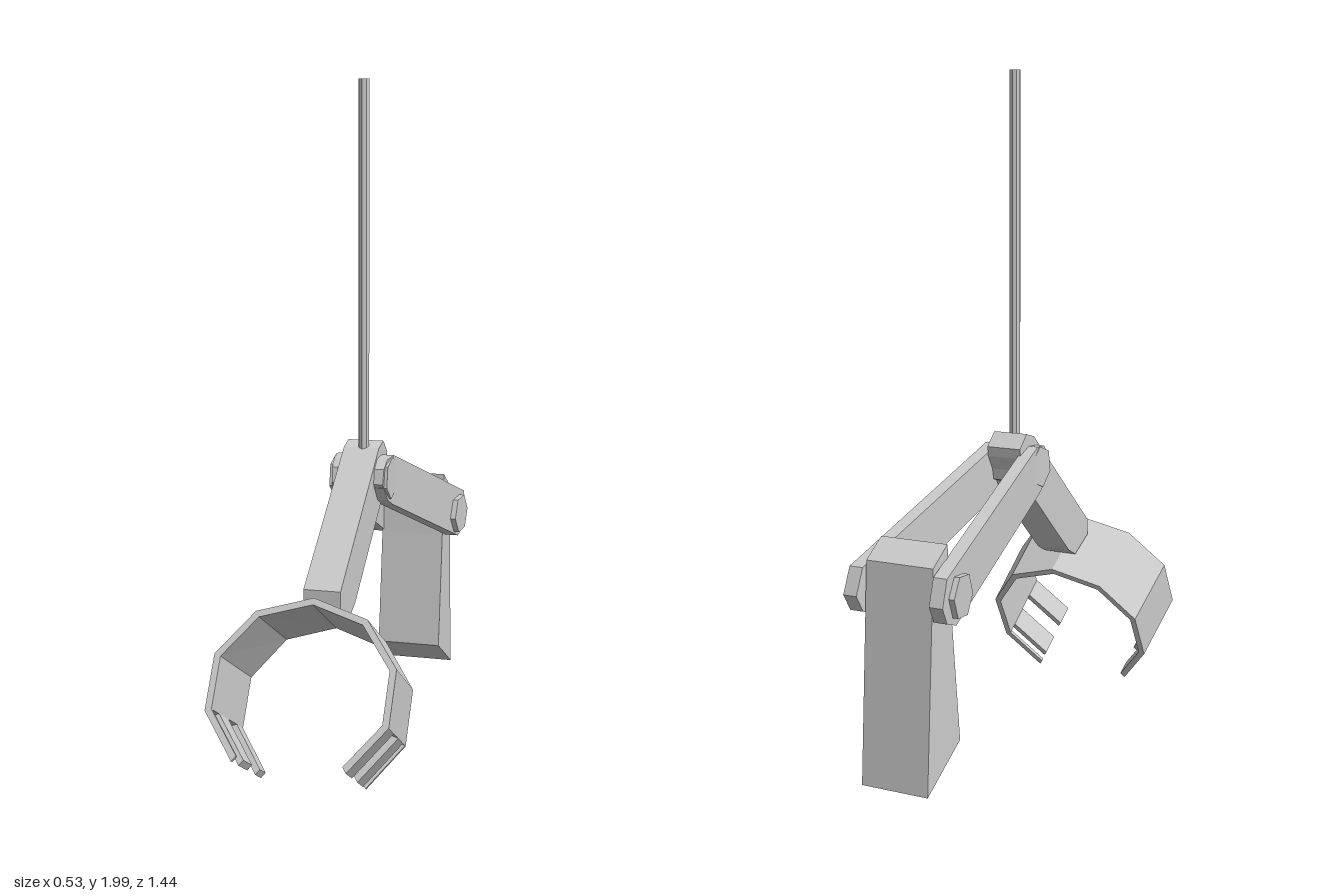
import * as THREE from 'three';

const CX = 0.01; // centre of the arms and blade in x

function material() {
  return new THREE.MeshStandardMaterial({ color: 0xcccccc, flatShading: true });
}

function mesh(name, geometry) {
  const m = new THREE.Mesh(geometry, material());
  m.name = name;
  return m;
}

function extrude(points, depth) {
  const shape = new THREE.Shape(points.map(([a, b]) => new THREE.Vector2(a, b)));
  return new THREE.ExtrudeGeometry(shape, { depth, bevelEnabled: false }).translate(0, 0, -depth / 2);
}

// Plate with a [z, y] outline and its thickness along x
function plate(points, thickness) {
  return extrude(points, thickness).rotateY(-Math.PI / 2);
}

function hexagon(z, y, r, turn) {
  return Array.from({ length: 6 }, (_, i) => {
    const a = (i * Math.PI) / 3 + turn;
    return [z + r * Math.cos(a), y + r * Math.sin(a)];
  });
}

// Moves vertices by a rule
function warp(geometry, rule) {
  const p = geometry.attributes.position;
  const v = new THREE.Vector3();
  for (let i = 0; i < p.count; i++) {
    v.fromBufferAttribute(p, i);
    rule(v);
    p.setXYZ(i, v.x, v.y, v.z);
  }
  geometry.computeVertexNormals();
  return geometry;
}

// Rear arms spread apart towards the back
function splay(geometry, side, extra = 0) {
  return warp(geometry, (v) => {
    v.x += CX + side * (0.065 + extra + (0.06 * (0.015 - v.z)) / 0.63);
  });
}

// Part of the ten-sided ring between two corner numbers; corner 0 is at the top
function ringPart(from, to, z0, z1) {
  const outer = [];
  const inner = [];
  for (let i = from; i <= to; i++) {
    const a = (i * Math.PI) / 5;
    outer.push([0.278 * Math.sin(a), 0.262 * Math.cos(a)]);
    inner.unshift([0.258 * Math.sin(a), 0.242 * Math.cos(a)]);
  }
  const g = extrude([...outer, ...inner], z1 - z0).translate(0, 0, (z0 + z1) / 2);
  // slightly narrower towards the back
  return warp(g, (v) => { v.x *= 0.98 + 0.16 * v.z; });
}

function createClaw() {
  const claw = new THREE.Group();
  claw.name = 'claw';
  const half = 0.128;
  claw.add(mesh('clawBand', ringPart(-3, 3, -half, half)));
  // Fingers as fractions of the width from the front, staggered between the sides
  const fingers = {
    leftFinger: [[0, 0.29], [0.55, 0.84], [0.96, 1]],
    rightFinger: [[0, 0.04], [0.24, 0.53], [0.8, 1]],
  };
  for (const [name, spans] of Object.entries(fingers)) {
    const [from, to] = name === 'leftFinger' ? [3, 4] : [-4, -3];
    for (const [a, b] of spans) {
      claw.add(mesh(name, ringPart(from, to, half - 2 * half * b, half - 2 * half * a)));
    }
  }
  claw.position.set(0, 0.262, 0.5);
  claw.rotation.x = -Math.PI / 6;
  return claw;
}

export function createModel() {
  const model = new THREE.Group();
  model.name = 'clawArm';

  // Upright rod
  const rod = mesh('rod', new THREE.CylinderGeometry(0.017, 0.017, 1.12, 8));
  rod.position.set(CX, 1.44, 0.013);
  model.add(rod);

  // Front arm
  const frontArm = mesh('frontArm', plate([
    [0.425, 0.56], [0.425, 0.51], [0.33, 0.465], [0.28, 0.49], [0, 0.735],
    [-0.065, 0.85], [-0.07, 0.88], [-0.025, 0.92], [0.025, 0.905],
  ], 0.11));
  frontArm.position.x = 0.006;
  model.add(frontArm, createClaw());

  // Axle through the front joint
  const axle = mesh('frontAxle', plate(hexagon(0.015, 0.815, 0.065, -0.35), 0.18));
  axle.position.x = CX;
  model.add(axle);

  // Pair of rear arms with their bolts
  const armOutline = [
    [0.085, 0.805], [0.075, 0.85], [0.045, 0.875], [-0.01, 0.88], [-0.69, 0.645],
    [-0.72, 0.57], [-0.69, 0.52], [-0.63, 0.5], [0, 0.73], [0.04, 0.75],
  ];
  for (const side of [-1, 1]) {
    model.add(mesh('rearArm', splay(plate(armOutline, 0.042), side)));
    model.add(mesh('rearBolt', splay(plate(hexagon(-0.615, 0.58, 0.065, -0.1), 0.04), side, 0.018)));
  }

  // Blade between the rear arms
  const blade = mesh('blade', plate([
    [-0.6, 0.715], [-0.68, 0.665], [-0.72, 0.03], [-0.535, 0.135], [-0.58, 0.51],
  ], 0.21));
  blade.position.x = CX;
  model.add(blade);

  return model;
}
